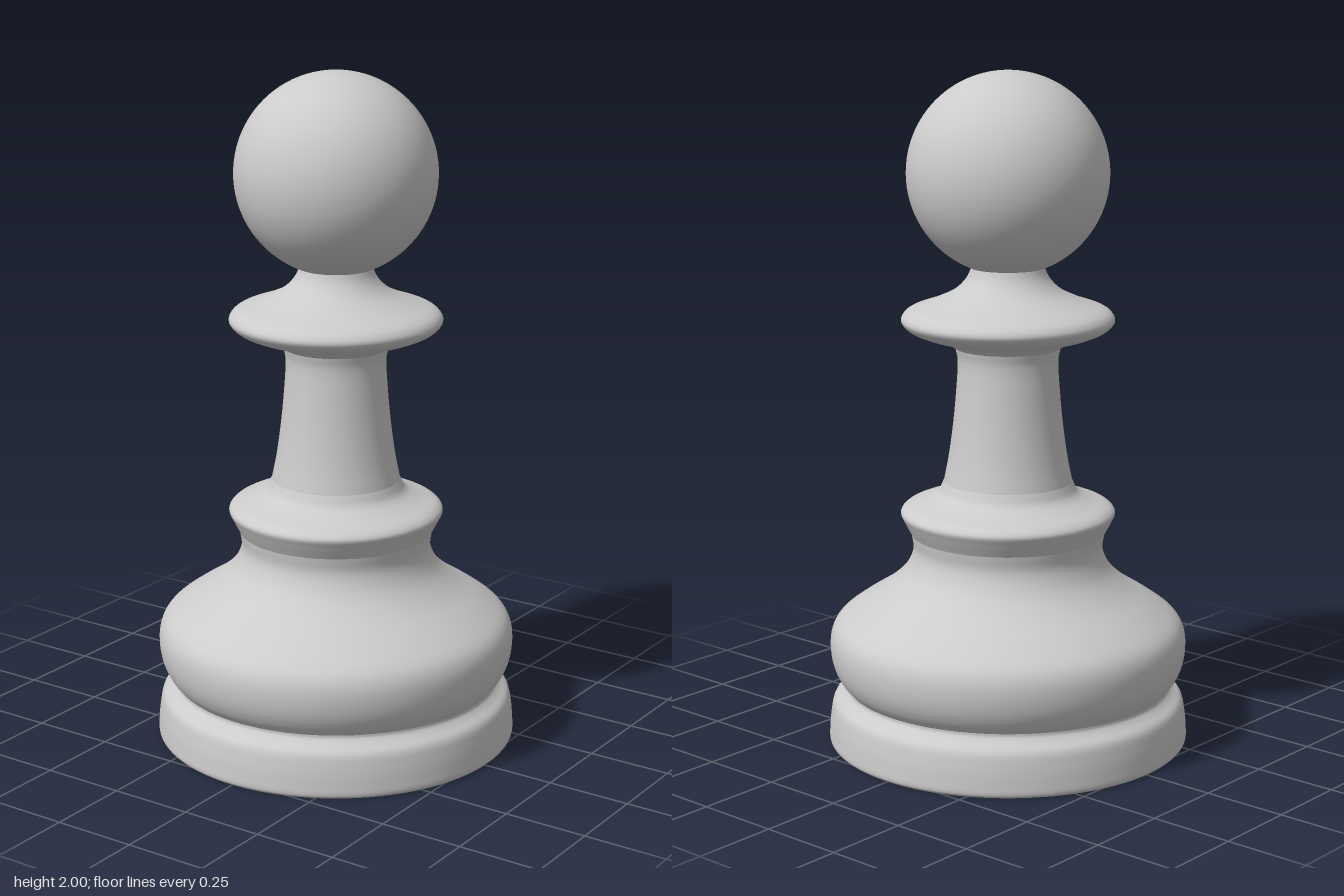
import * as THREE from 'three';

const material = new THREE.MeshStandardMaterial({ color: 0xcccccc });
const SEGMENTS = 96;

// Smooth turned section through [radius, height] points, listed bottom to top
function turned(name, profile, steps = 5) {
  const curve = new THREE.CatmullRomCurve3(
    profile.map(([r, y]) => new THREE.Vector3(r, y, 0)), false, 'centripetal');
  const points = curve.getPoints((profile.length - 1) * steps)
    .map((p) => new THREE.Vector2(p.x, p.y));
  const mesh = new THREE.Mesh(new THREE.LatheGeometry(points, SEGMENTS), material);
  mesh.name = name;
  return mesh;
}

export function createModel() {
  const pawn = new THREE.Group();
  pawn.name = 'pawn';

  // Flat underside
  const underside = new THREE.Mesh(new THREE.CircleGeometry(0.53, SEGMENTS), material);
  underside.rotation.x = Math.PI / 2;
  underside.name = 'underside';
  pawn.add(underside);

  // Foot with a rounded shoulder running in to the groove
  pawn.add(turned('foot', [
    [0.53, 0], [0.537, 0.008], [0.537, 0.04], [0.532, 0.09], [0.522, 0.13],
    [0.497, 0.152], [0.486, 0.165], [0.485, 0.174],
  ]));

  // Swelling body, narrowing to a waist below the lower collar
  pawn.add(turned('body', [
    [0.485, 0.174], [0.506, 0.2], [0.524, 0.24], [0.532, 0.29], [0.528, 0.335],
    [0.51, 0.37], [0.45, 0.417], [0.36, 0.476], [0.305, 0.53], [0.282, 0.585],
    [0.287, 0.635],
  ]));

  // Lower collar
  pawn.add(turned('lowerCollar', [
    [0.287, 0.635], [0.308, 0.675], [0.318, 0.7], [0.303, 0.718], [0.25, 0.738],
    [0.208, 0.762], [0.19, 0.795],
  ]));

  // Tapered stem
  pawn.add(turned('stem', [
    [0.19, 0.795], [0.177, 0.86], [0.164, 0.95], [0.153, 1.06], [0.148, 1.16],
    [0.155, 1.195],
  ]));

  // Upper collar and neck
  pawn.add(turned('upperCollar', [
    [0.155, 1.195], [0.19, 1.215], [0.25, 1.232], [0.297, 1.254], [0.313, 1.277],
    [0.298, 1.302], [0.22, 1.333], [0.155, 1.365], [0.118, 1.405], [0.102, 1.45],
  ]));

  // Ball head
  const head = new THREE.Mesh(new THREE.SphereGeometry(0.295, SEGMENTS, 48), material);
  head.position.y = 1.705;
  head.name = 'head';
  pawn.add(head);

  return pawn;
}
